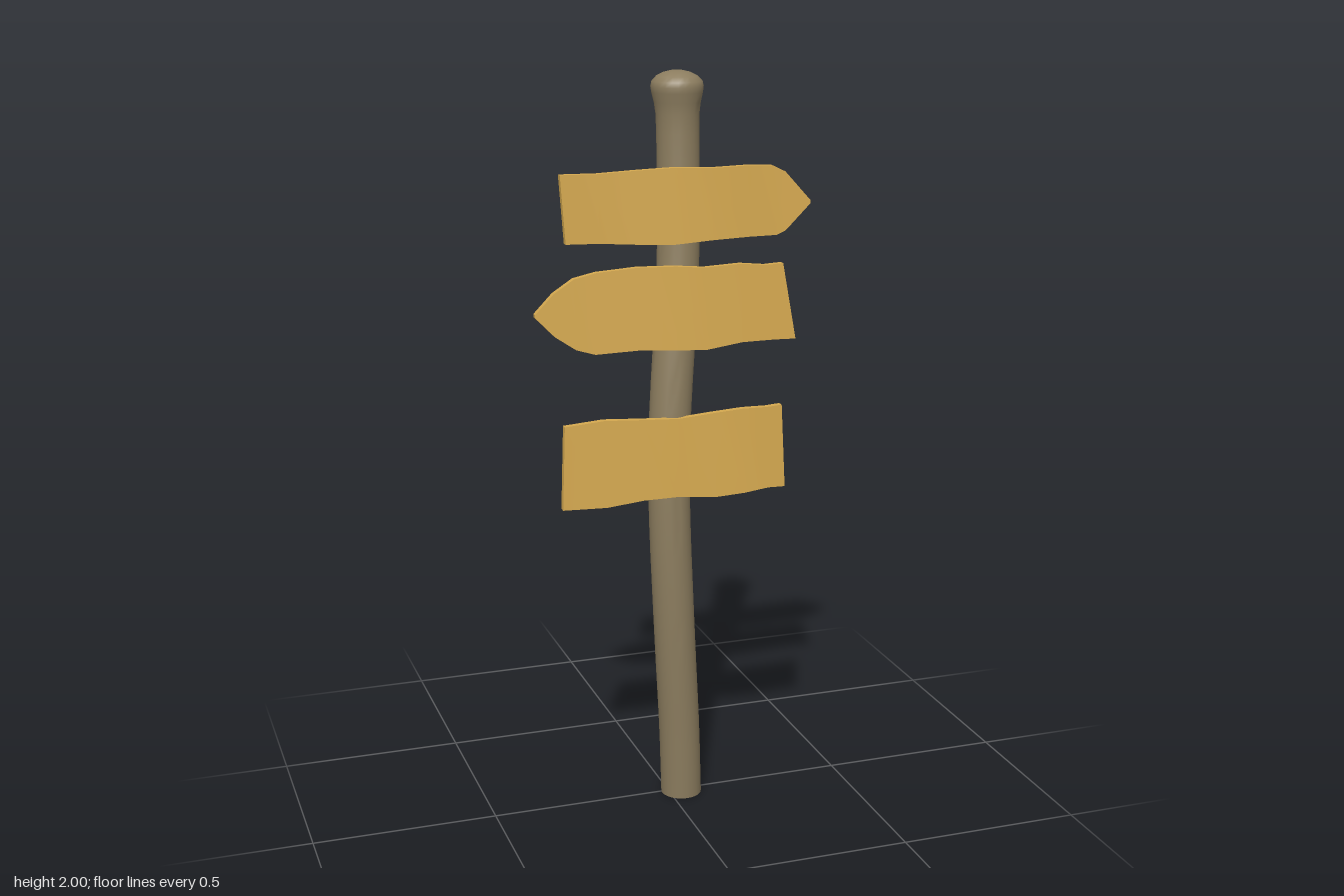
import * as THREE from 'three';
import { toCreasedNormals } from 'three/addons/utils/BufferGeometryUtils.js';

// Joins equal-length rings into a closed solid, with a fan over each end.
function loft(rings, crease) {
  const n = rings[0].length, last = rings.length - 1;
  const points = rings.flat(), index = [];
  for (let s = 0; s < last; s++) {
    for (let i = 0; i < n; i++) {
      const a = s * n + i, b = s * n + (i + 1) % n;
      index.push(a, b, b + n, a, b + n, a + n);
    }
  }
  [0, last].forEach((s, end) => {
    const centre = new THREE.Vector3();
    rings[s].forEach((p) => centre.addScaledVector(p, 1 / n));
    const c = points.push(centre) - 1;
    for (let i = 0; i < n; i++) {
      const a = s * n + i, b = s * n + (i + 1) % n;
      if (end) index.push(c, a, b);
      else index.push(c, b, a);
    }
  });
  const geometry = new THREE.BufferGeometry().setFromPoints(points);
  geometry.setIndex(index);
  return toCreasedNormals(geometry, crease);
}

// Crooked round post that flares into a domed knob.
function makePost(material) {
  const bends = [ // x, z of the centre line every 0.2 of height
    [0.035, 0.01], [0.026, 0.019], [0.013, 0.028], [0.002, 0.033], [-0.006, 0.032], [-0.007, 0.026],
    [0.006, 0.013], [0.025, -0.006], [0.036, -0.023], [0.038, -0.034], [0.036, -0.038],
  ];
  const path = new THREE.CatmullRomCurve3(
    bends.map(([x, z], i) => new THREE.Vector3(x, i * 0.2, z)), false, 'catmullrom');
  const levels = [];
  for (let i = 0; i <= 23; i++) levels.push([i * 0.08, 0.056]);
  levels.push([1.89, 0.057], [1.92, 0.061], [1.945, 0.067], [1.96, 0.069],
    [1.973, 0.066], [1.986, 0.054], [1.995, 0.036], [2, 0.015]);
  const sides = 24;
  const rings = levels.map(([y, r]) => {
    const c = path.getPoint(y / 2);
    return Array.from({ length: sides }, (_, i) => {
      const a = (i / sides) * Math.PI * 2;
      return new THREE.Vector3(c.x + r * Math.sin(a), y, c.z + r * Math.cos(a));
    });
  });
  const post = new THREE.Mesh(loft(rings, 0.9), material);
  post.name = 'post';
  return post;
}

// Warped plank. Stations run along x: [top x, top y, bottom x, bottom y, middle z].
// The lower edge leans forward by tilt per unit of height.
function makePlank(name, stations, midY, tilt, material) {
  const half = 0.009;
  const rings = stations.map(([xt, yt, xb, yb, z]) => {
    const zt = z - (yt - midY) * tilt, zb = z - (yb - midY) * tilt;
    return [
      new THREE.Vector3(xt, yt, zt - half), new THREE.Vector3(xt, yt, zt + half),
      new THREE.Vector3(xb, yb, zb + half), new THREE.Vector3(xb, yb, zb - half),
    ];
  });
  const plank = new THREE.Mesh(loft(rings, 0.5), material);
  plank.name = name;
  return plank;
}

export function createModel() {
  const group = new THREE.Group();
  group.name = 'signpost';
  const bark = new THREE.MeshStandardMaterial({ color: 0x8c7d5f });
  const wood = new THREE.MeshStandardMaterial({ color: 0xd4a84f });
  group.add(makePost(bark));

  // Top plank, pointing to +x
  group.add(makePlank('topArrowPlank', [
    [-0.3, 1.755, -0.29, 1.58, 0.034],
    [-0.2, 1.753, -0.2, 1.577, 0.031],
    [-0.1, 1.758, -0.1, 1.57, 0.037],
    [0, 1.762, 0, 1.566, 0.046],
    [0.1, 1.758, 0.1, 1.573, 0.052],
    [0.2, 1.76, 0.2, 1.576, 0.049],
    [0.27, 1.757, 0.28, 1.576, 0.045],
    [0.305, 1.74, 0.305, 1.587, 0.046],
    [0.375, 1.662, 0.375, 1.655, 0.048],
  ], 1.66, 0.06, wood));

  // Middle plank, pointing to -x
  group.add(makePlank('middleArrowPlank', [
    [-0.375, 1.405, -0.375, 1.397, 0.045],
    [-0.325, 1.455, -0.325, 1.345, 0.046],
    [-0.27, 1.49, -0.27, 1.308, 0.047],
    [-0.21, 1.503, -0.22, 1.293, 0.049],
    [-0.1, 1.511, -0.1, 1.297, 0.055],
    [0, 1.509, 0, 1.291, 0.061],
    [0.08, 1.502, 0.08, 1.287, 0.063],
    [0.18, 1.506, 0.18, 1.3, 0.062],
    [0.25, 1.498, 0.27, 1.3, 0.059],
    [0.3, 1.5, 0.332, 1.298, 0.057],
  ], 1.4, 0.08, wood));

  // Lowest plank, square at both ends
  group.add(makePlank('lowerPlank', [
    [-0.308, 1.11, -0.32, 0.89, 0.077],
    [-0.2, 1.118, -0.2, 0.886, 0.078],
    [-0.1, 1.113, -0.1, 0.897, 0.083],
    [0, 1.108, 0, 0.898, 0.084],
    [0.1, 1.116, 0.1, 0.888, 0.086],
    [0.18, 1.122, 0.18, 0.893, 0.09],
    [0.25, 1.12, 0.25, 0.9, 0.086],
    [0.292, 1.122, 0.298, 0.898, 0.083],
  ], 1, 0.07, wood));
  return group;
}
